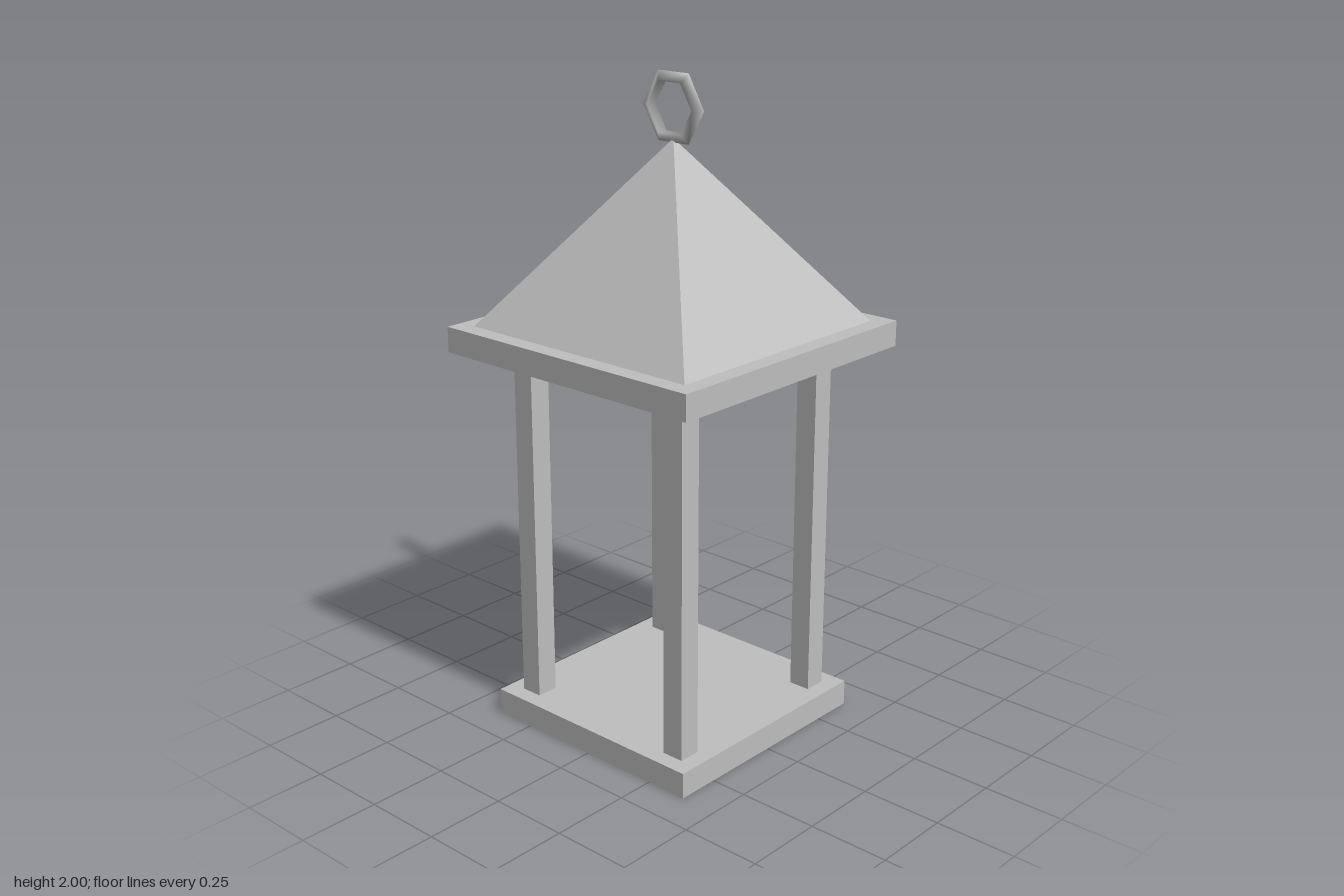
import * as THREE from 'three';

export function createModel() {
  const group = new THREE.Group();
  const grey = new THREE.MeshStandardMaterial({ color: 0xbfbfbf });
  grey.name = 'light grey';

  function add(name, geometry, x, y, z) {
    const mesh = new THREE.Mesh(geometry, grey);
    mesh.name = name;
    mesh.position.set(x, y, z);
    group.add(mesh);
    return mesh;
  }

  // Square slabs at the foot and under the roof
  add('base', new THREE.BoxGeometry(0.768, 0.08, 0.768), 0, 0.04, 0);
  add('roofSlab', new THREE.BoxGeometry(0.934, 0.078, 0.934), 0, 1.226, 0);

  // Four corner posts
  const bottom = 0.08, top = 1.187, offset = 0.297;
  for (const x of [-1, 1]) {
    for (const z of [-1, 1]) {
      const name = (z > 0 ? 'front' : 'back') + (x > 0 ? 'Left' : 'Right') + 'Post';
      add(name, new THREE.BoxGeometry(0.07, top - bottom, 0.07), x * offset, (top + bottom) / 2, z * offset);
    }
  }

  // Pyramid roof with flat faces
  const height = 0.547;
  const roof = new THREE.ConeGeometry(0.412 * Math.SQRT2, height, 4).toNonIndexed();
  roof.rotateY(Math.PI / 4);
  roof.computeVertexNormals();
  add('roof', roof, 0, 1.265 + height / 2, 0);

  // Six-sided hanging ring with a three-sided section
  add('hangingRing', new THREE.TorusGeometry(0.0945, 0.021, 3, 6), 0, 1.9, 0);

  return group;
}
